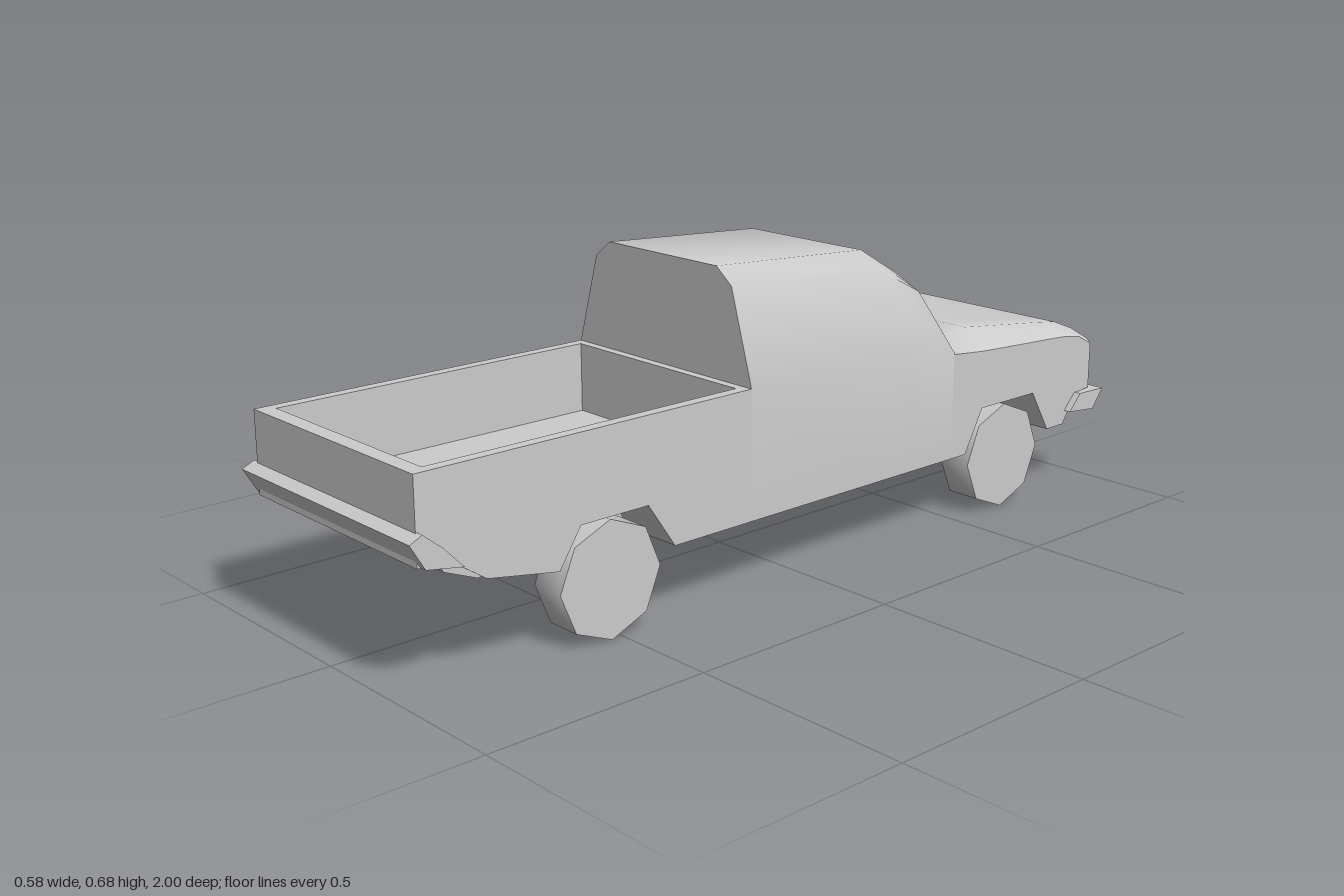
import * as THREE from 'three';
import { toCreasedNormals } from 'three/addons/utils/BufferGeometryUtils.js';

const W = 0.275; // half width of the body
const material = new THREE.MeshStandardMaterial({ color: 0xcccccc });

// Lofts mirrored cross-sections along +z. A section is a list of right-half points, bottom to top.
function loft(sections) {
  const rings = sections.map((half) => [
    ...half,
    ...half.slice().reverse().map(([x, y, z]) => [-x, y, z]),
  ]);
  const pos = [];
  const tri = (a, b, c) => pos.push(...a, ...b, ...c);
  const n = rings[0].length;
  for (let k = 0; k < rings.length - 1; k++) {
    for (let i = 0; i < n; i++) {
      const j = (i + 1) % n;
      const [a, b, c, d] = [rings[k][i], rings[k][j], rings[k + 1][j], rings[k + 1][i]];
      tri(a, b, c);
      tri(a, c, d);
    }
  }
  // End caps, as strips between the right and left points
  const first = rings[0];
  const last = rings[rings.length - 1];
  for (let i = 0; i < n / 2 - 1; i++) {
    const l = n - 1 - i;
    tri(last[i], last[i + 1], last[l - 1]);
    tri(last[i], last[l - 1], last[l]);
    tri(first[i], first[l - 1], first[i + 1]);
    tri(first[i], first[l], first[l - 1]);
  }
  const geometry = new THREE.BufferGeometry();
  geometry.setAttribute('position', new THREE.Float32BufferAttribute(pos, 3));
  return toCreasedNormals(geometry, 0.72);
}

// Extrudes a (z, y) side profile across the width, centred on x = 0
function sideExtrude(points, width) {
  const shape = new THREE.Shape(points.map(([z, y]) => new THREE.Vector2(-z, y)));
  const geometry = new THREE.ExtrudeGeometry(shape, { depth: width, bevelEnabled: false });
  return geometry.translate(0, 0, -width / 2).rotateY(Math.PI / 2);
}

export function createModel() {
  const group = new THREE.Group();
  const add = (name, geometry, x = 0, y = 0, z = 0) => {
    const mesh = new THREE.Mesh(geometry, material);
    mesh.name = name;
    mesh.position.set(x, y, z);
    group.add(mesh);
  };

  // Hood: z, underside, side edge height, shoulder x, top height
  const hood = [
    [-0.965, 0.235, 0.345, 0.265, 0.355],
    [-0.917, 0.23, 0.37, 0.25, 0.387],
    [-0.87, 0.16, 0.378, 0.235, 0.407],
    [-0.81, 0.16, 0.382, 0.23, 0.414],
    [-0.75, 0.26, 0.385, 0.225, 0.42],
    [-0.565, 0.26, 0.395, 0.215, 0.44],
    [-0.51, 0.16, 0.4, 0.215, 0.425],
    [-0.46, 0.16, 0.405, 0.215, 0.41],
  ];
  add('hood', loft(hood.map(([z, yb, edge, sx, top]) => [
    [W, yb, z], [W, edge, z], [sx, top, z], [sx * 0.75, top, z],
  ])));

  // Cabin: the slanted first section is the windshield
  add('cabin', loft([
    [[W, 0.16, -0.46], [W, 0.41, -0.46], [0.235, 0.555, -0.38], [0.19, 0.59, -0.36]],
    [[W, 0.16, -0.26], [W, 0.425, -0.26], [0.222, 0.62, -0.26], [0.17, 0.655, -0.26]],
    [[W, 0.16, 0.165], [W, 0.443, 0.165], [0.215, 0.645, 0.165], [0.17, 0.68, 0.165]],
  ]));

  // Cargo bed: z, underside; the section is an open tray
  const bed = [
    [0.185, 0.16], [0.372, 0.16], [0.44, 0.26], [0.607, 0.26],
    [0.66, 0.18], [0.826, 0.21], [0.895, 0.257], [0.94, 0.265],
  ];
  add('cargoBed', loft(bed.map(([z, yb]) => [
    [W, yb, z], [W, 0.443, z], [0.25, 0.443, z], [0.25, 0.29, z],
  ])));

  // Walls closing the bed at both ends
  const wall = (z0, z1, yb) =>
    new THREE.BoxGeometry(2 * W, 0.443 - yb, z1 - z0).translate(0, (0.443 + yb) / 2, (z0 + z1) / 2);
  add('bedFrontWall', wall(0.165, 0.185, 0.16));
  add('tailgate', wall(0.94, 0.975, 0.267));

  // Bumpers
  add('tailBumper', sideExtrude([[0.972, 0.335], [1, 0.322], [0.968, 0.268], [0.885, 0.253], [0.93, 0.3]].reverse(), 0.584));
  add('noseBumper', sideExtrude([[-0.912, 0.232], [-1, 0.23], [-0.965, 0.184], [-0.875, 0.193]], 0.584));

  // Headlights
  const lamp = toCreasedNormals(new THREE.CylinderGeometry(0.035, 0.035, 0.025, 10).rotateX(Math.PI / 2), 0.8);
  for (const s of [-1, 1]) add('headlight', lamp, s * 0.215, 0.298, -0.968);

  // Eight-sided wheels, with a six-sided housing between each pair
  const wheel = toCreasedNormals(new THREE.CylinderGeometry(0.125, 0.125, 0.081, 8).rotateZ(Math.PI / 2), 0.85);
  const housing = [[-0.06, 0.107], [-0.115, 0.175], [-0.085, 0.262], [0.085, 0.262], [0.115, 0.175], [0.06, 0.107]];
  for (const z of [-0.658, 0.527]) {
    add('axleHousing', sideExtrude(housing, 0.346), 0, 0, z);
    for (const s of [-1, 1]) add('wheel', wheel, s * 0.2235, 0.125, z);
  }
  return group;
}
